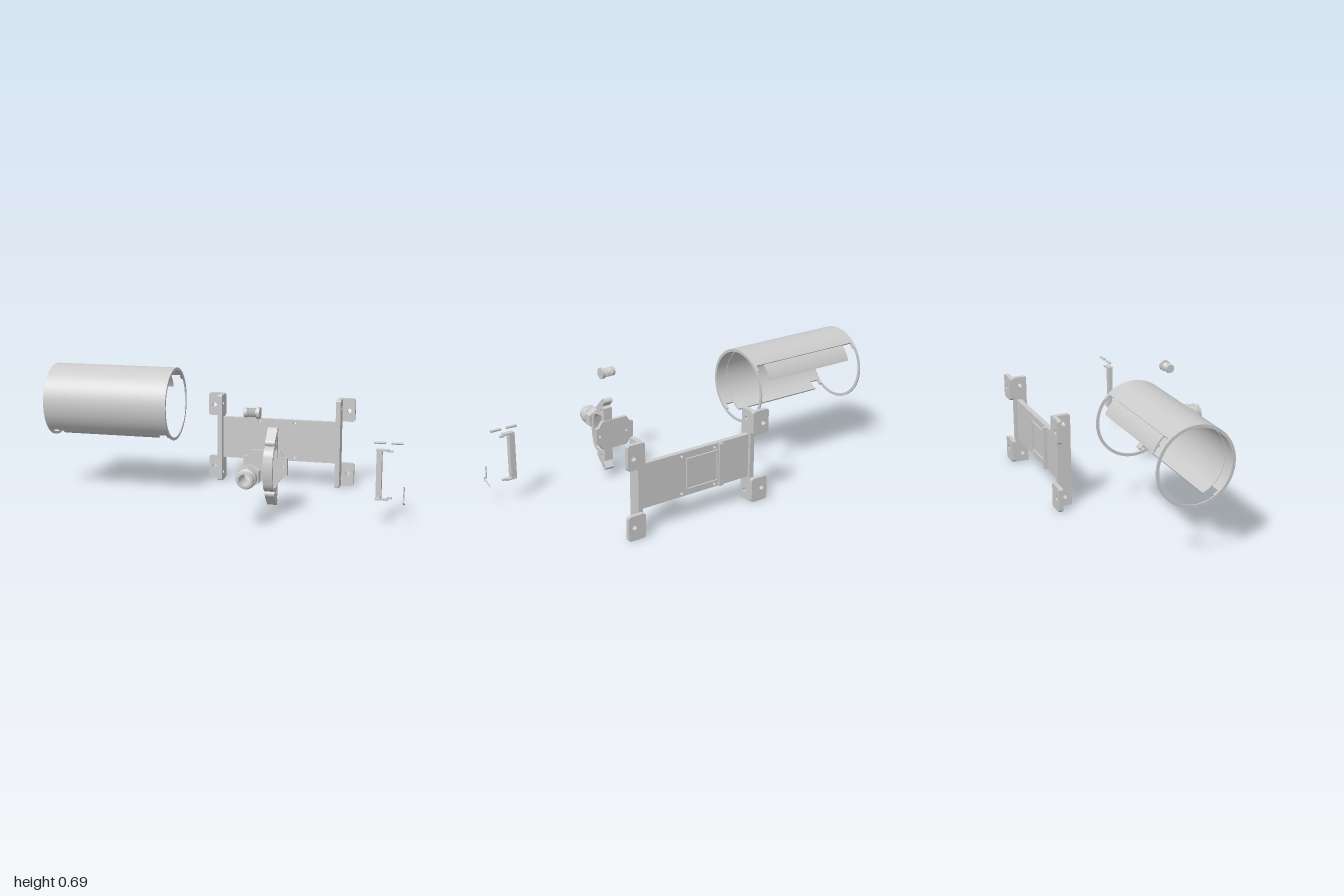
import * as THREE from 'three';

const mat = new THREE.MeshStandardMaterial({ color: 0xcccccc, side: THREE.DoubleSide });
const rad = THREE.MathUtils.degToRad;

function add(parent, name, geo, x = 0, y = 0, z = 0) {
  const m = new THREE.Mesh(geo, mat);
  m.name = name;
  m.position.set(x, y, z);
  parent.add(m);
  return m;
}
function part(parent, name) {
  const g = new THREE.Group();
  g.name = name;
  parent.add(g);
  return g;
}
const extrude = (shape, depth) =>
  new THREE.ExtrudeGeometry(shape, { depth, bevelEnabled: false, curveSegments: 24 });
// Side profile drawn with shape x = -z, extruded from x0 to x1
const side = (shape, x0, x1) => extrude(shape, x1 - x0).rotateY(Math.PI / 2).translate(x0, 0, 0);
const box = (x0, x1, y0, y1, z0, z1) =>
  new THREE.BoxGeometry(x1 - x0, y1 - y0, z1 - z0).translate((x0 + x1) / 2, (y0 + y1) / 2, (z0 + z1) / 2);

function roundRect(x0, x1, y0, y1, r) {
  const s = new THREE.Shape();
  s.absarc(x1 - r, y0 + r, r, -Math.PI / 2, 0);
  s.absarc(x1 - r, y1 - r, r, 0, Math.PI / 2);
  s.absarc(x0 + r, y1 - r, r, Math.PI / 2, Math.PI);
  s.absarc(x0 + r, y0 + r, r, Math.PI, Math.PI * 1.5);
  return s;
}
function hole(shape, x, y, r) {
  shape.holes.push(new THREE.Path().absarc(x, y, r, 0, Math.PI * 2, true));
}

// Curved wall; angles run from the front (+z) upwards
function arcWall(r0, r1, a0, a1, x0, x1) {
  const s = new THREE.Shape(), b = rad(180 - a1), e = rad(180 - a0);
  s.absarc(0, 0, r1, b, e, false);
  s.absarc(0, 0, r0, e, b, true);
  return new THREE.ExtrudeGeometry(s, { depth: x1 - x0, bevelEnabled: false, curveSegments: 60 })
    .rotateY(Math.PI / 2).translate(x0, 0, 0);
}

// Half-open tube with a stepped lip and a full ring at each end
function buildCover(root) {
  const g = part(root, 'tubeCover');
  g.position.set(0, 0.488, -0.14);
  add(g, 'coverWall', arcWall(0.188, 0.2, -50, 132, -0.994, -0.306));
  add(g, 'coverLip', arcWall(0.185, 0.193, -67, 159, -0.925, -0.37));
  for (const [x, inward] of [[-1, 1], [-0.3, -1]]) {
    const xs = (w) => [x, x + inward * w].sort((a, b) => a - b);
    const ring = new THREE.Shape().absarc(0, 0, 0.2, 0, Math.PI * 2);
    hole(ring, 0, 0, 0.185);
    const [a, b] = xs(0.006);
    add(g, 'endRing', new THREE.ExtrudeGeometry(ring, { depth: b - a, bevelEnabled: false, curveSegments: 80 })
      .rotateY(Math.PI / 2).translate(a, 0, 0));
    for (const [a0, a1] of [[-59, -50], [132, 141]])
      add(g, 'ringTab', arcWall(0.186, 0.2, a0, a1, ...xs(0.017)));
  }
}

// Mounting bracket: plate, two side webs and four ears
function buildBracket(root) {
  const g = part(root, 'mountingBracket');
  const plate = roundRect(-0.118, 0.545, 0.135, 0.37, 0.002);
  for (const x of [0.1, 0.3]) for (const y of [0.152, 0.352]) hole(plate, x, y, 0.008);
  add(g, 'mainPlate', extrude(plate, 0.028), 0, 0, -0.473);
  const frame = roundRect(0.08, 0.275, 0.165, 0.335, 0.004);
  frame.holes.push(roundRect(0.088, 0.267, 0.173, 0.327, 0.003));
  add(g, 'rearFrame', extrude(frame, 0.009), 0, 0, -0.481);
  add(g, 'rearRib', box(0.055, 0.08, 0.138, 0.367, -0.489, -0.47));
  for (const s of [-1, 1]) {
    const cx = 0.2125;
    const web = roundRect(0.415, 0.488, 0.002, 0.498, 0.008);
    for (const y of [0.05, 0.45]) hole(web, 0.45, y, 0.011);
    const xs = [cx + s * 0.326, cx + s * 0.352].sort((a, b) => a - b);
    add(g, 'sideWeb', side(web, ...xs));
    for (const top of [0, 1]) {
      const ex = [cx + s * 0.326, cx + s * 0.4225].sort((a, b) => a - b);
      const ear = roundRect(ex[0], ex[1], top ? 0.369 : 0, top ? 0.5 : 0.131, 0.014);
      hole(ear, cx + s * 0.39, top ? 0.43 : 0.07, 0.013);
      add(g, 'mountingEar', extrude(ear, 0.023), 0, 0, -0.511);
    }
  }
}

// Bow handle on a small backing plate
function buildHandle(root) {
  const g = part(root, 'handle');
  const p = new THREE.Shape();
  [[0.165, 0.205], [0.185, 0.2], [0.205, 0.17], [0.355, 0.17], [0.375, 0.2], [0.394, 0.205],
    [0.394, 0.295], [0.375, 0.3], [0.355, 0.33], [0.205, 0.33], [0.185, 0.3], [0.165, 0.295]]
    .forEach(([x, y], i) => (i ? p.lineTo(x, y) : p.moveTo(x, y)));
  for (const x of [0.207, 0.372]) hole(p, x, 0.25, 0.007);
  add(g, 'backingPlate', extrude(p, 0.02), 0, 0, 0.172);

  // Handle outline, mirrored about its middle height
  const m = 0.249, s = new THREE.Shape();
  s.moveTo(-0.178, m - 0.15);
  s.lineTo(-0.178, m + 0.15);
  s.lineTo(-0.195, m + 0.158);
  s.lineTo(-0.17, m + 0.186);
  s.absarc(-0.184, m + 0.187, 0.016, 0, rad(130), false);
  s.lineTo(-0.245, m + 0.15);
  s.quadraticCurveTo(-0.263, m + 0.135, -0.25, m + 0.118);
  s.quadraticCurveTo(-0.292, m + 0.105, -0.3, m + 0.06);
  s.quadraticCurveTo(-0.316, m, -0.3, m - 0.06);
  s.quadraticCurveTo(-0.292, m - 0.105, -0.25, m - 0.118);
  s.quadraticCurveTo(-0.263, m - 0.135, -0.245, m - 0.15);
  s.lineTo(-0.194, m - 0.199);
  s.absarc(-0.184, m - 0.187, 0.016, rad(-130), 0, false);
  s.lineTo(-0.195, m - 0.158);
  const grip = new THREE.Path();
  grip.moveTo(-0.245, m - 0.1);
  grip.quadraticCurveTo(-0.28, m - 0.095, -0.284, m - 0.06);
  grip.quadraticCurveTo(-0.296, m, -0.284, m + 0.06);
  grip.quadraticCurveTo(-0.28, m + 0.095, -0.245, m + 0.1);
  grip.lineTo(-0.197, m + 0.1);
  grip.lineTo(-0.197, m - 0.1);
  s.holes.push(grip);
  for (const d of [-1, 1]) {
    hole(s, -0.185, m + d * 0.186, 0.008);
    hole(s, -0.205, m + d * 0.128, 0.009);
  }
  add(g, 'bowHandle', side(s, 0.292, 0.342));
}

// Cable gland: hex nut, ribbed cap and bored centre
function buildGland(root) {
  const g = part(root, 'cableGland');
  g.position.set(0.25, 0.249, 0);
  const hex = new THREE.Shape();
  for (let i = 0; i < 6; i++) {
    const a = Math.PI / 2 + (i * Math.PI) / 3;
    hex[i ? 'lineTo' : 'moveTo'](0.06 * Math.cos(a), 0.06 * Math.sin(a));
  }
  hole(hex, 0, 0, 0.03);
  add(g, 'hexNut', extrude(hex, 0.046), 0, 0, 0.394);
  const cap = [[0.03, 0.43], [0.044, 0.438], [0.044, 0.45], [0.05, 0.452], [0.05, 0.492],
    [0.044, 0.497], [0.042, 0.514], [0.03, 0.516], [0.027, 0.43]];
  const geo = new THREE.LatheGeometry(cap.map(([r, z]) => new THREE.Vector2(r, z)), 40).toNonIndexed();
  geo.computeVertexNormals();
  add(g, 'glandCap', geo.rotateX(Math.PI / 2));
  for (let i = 0; i < 12; i++) {
    const rib = add(g, 'capRib', new THREE.BoxGeometry(0.008, 0.006, 0.035).translate(0, 0.048, 0.472));
    rib.rotation.z = (i * Math.PI) / 6 + rad(15);
  }
}

// Small plug with a threaded shank lying along x
function buildPlug(root) {
  const pts = [[0, 0.198], [0.023, 0.198], [0.025, 0.202], [0.025, 0.214], [0.02, 0.217]];
  for (let i = 0; i < 5; i++) pts.push([0.025, 0.221 + i * 0.008], [0.02, 0.225 + i * 0.008]);
  pts.push([0.02, 0.262], [0.03, 0.263], [0.03, 0.279], [0, 0.28]);
  const geo = new THREE.LatheGeometry(pts.map(([r, x]) => new THREE.Vector2(r, x)), 32).toNonIndexed();
  geo.computeVertexNormals();
  add(root, 'threadedPlug', geo.rotateZ(-Math.PI / 2), 0, 0.546, 0.308);
}

// Latch bar, its two pins and the bent spring
function buildLatch(root) {
  const g = part(root, 'latch');
  add(g, 'latchBar', box(0.868, 0.88, 0.13, 0.372, 0.212, 0.244));
  add(g, 'latchFlange', box(0.85, 0.87, 0.13, 0.372, 0.212, 0.219));
  for (const d of [-1, 1]) {
    const y = 0.25 + d * 0.125;
    add(g, 'latchArm', box(0.85, 0.912, y - 0.004, y + 0.004, 0.212, 0.24));
    add(g, 'latchTip', box(0.906, 0.932, y - d * 0.006 - 0.004, y - d * 0.006 + 0.004, 0.212, 0.226));
  }
  for (const x of [0.865, 0.952])
    add(g, 'hingePin', new THREE.CylinderGeometry(0.007, 0.007, 0.058, 16).rotateZ(Math.PI / 2), x, 0.411, 0.217);
  const path = new THREE.CatmullRomCurve3([[0.205, 0.266], [0.17, 0.266], [0.142, 0.268], [0.138, 0.284],
    [0.128, 0.29], [0.121, 0.28], [0.121, 0.265], [0.112, 0.25], [0.107, 0.232]]
    .map(([y, z]) => new THREE.Vector3(0.996, y, z)));
  add(g, 'bentSpring', new THREE.TubeGeometry(path, 48, 0.0035, 8));
}

export function createModel() {
  const root = new THREE.Group();
  root.name = 'explodedCoverAssembly';
  [buildCover, buildBracket, buildHandle, buildGland, buildPlug, buildLatch].forEach((f) => f(root));
  return root;
}
